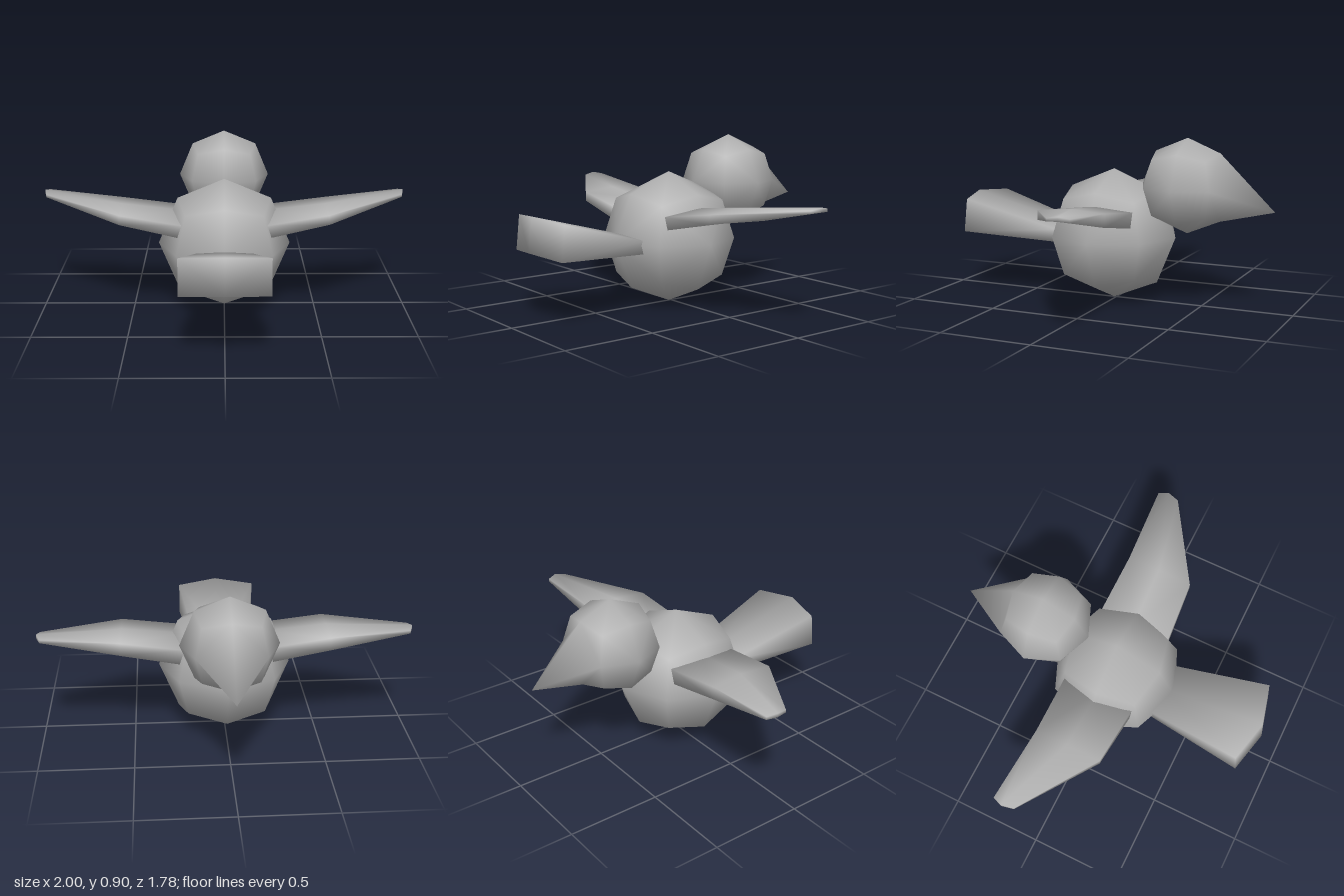
import * as THREE from 'three';
import { mergeVertices } from 'three/addons/utils/BufferGeometryUtils.js';

const plumage = new THREE.MeshStandardMaterial({ color: 0xb0b0b0 });
plumage.name = 'grey plumage';

// Smooth closed skin from points and quads: each quad is split along its
// shorter diagonal, and vertex normals are weighted by corner angle.
function skin(points, quads) {
  const p = points.map((xyz) => new THREE.Vector3(...xyz));
  const normals = p.map(() => new THREE.Vector3());
  const index = [];
  for (const [a, b, c, d] of quads) {
    if (p[a].distanceTo(p[c]) <= p[b].distanceTo(p[d])) index.push(a, b, c, a, c, d);
    else index.push(a, b, d, b, c, d);
  }
  for (let i = 0; i < index.length; i += 3) {
    for (let j = 0; j < 3; j++) {
      const at = index[i + j];
      const u = p[index[i + (j + 1) % 3]].clone().sub(p[at]);
      const v = p[index[i + (j + 2) % 3]].clone().sub(p[at]);
      const angle = u.angleTo(v);
      normals[at].add(u.cross(v).setLength(angle));
    }
  }
  const flat = (list) => list.flatMap((v) => v.toArray());
  const geometry = new THREE.BufferGeometry();
  geometry.setAttribute('position', new THREE.Float32BufferAttribute(flat(p), 3));
  geometry.setAttribute('normal', new THREE.Float32BufferAttribute(flat(normals.map((n) => n.normalize())), 3));
  geometry.setIndex(index);
  return geometry;
}

// Low-poly ball: a twice-divided cube pushed out to a sphere.
// The vertex facing -z can be drawn out to a tip.
function ball(radius, tip) {
  const box = new THREE.BoxGeometry(2, 2, 2, 2, 2, 2);
  box.deleteAttribute('uv');
  box.deleteAttribute('normal');
  const cube = mergeVertices(box);
  const points = [];
  for (let i = 0; i < cube.attributes.position.count; i++) {
    const v = new THREE.Vector3().fromBufferAttribute(cube.attributes.position, i).setLength(radius);
    points.push(tip && v.z < -0.99 * radius ? tip : v.toArray());
  }
  const quads = [];
  const corners = cube.index.array;
  for (let i = 0; i < corners.length; i += 6) {
    quads.push([corners[i], corners[i + 1], corners[i + 4], corners[i + 2]]);
  }
  return skin(points, quads);
}

// Closed skin over rings of six points, each running counterclockwise
// as seen from the far end.
function loft(rings) {
  const e = (rings.length - 1) * 6;
  const quads = [
    [e, e + 1, e + 2, e + 5], [e + 2, e + 3, e + 4, e + 5],
    [5, 2, 1, 0], [5, 4, 3, 2],
  ];
  for (let i = 0; i < e; i += 6) {
    for (let j = 0; j < 6; j++) {
      const k = (j + 1) % 6;
      quads.push([i + j, i + k, i + 6 + k, i + 6 + j]);
    }
  }
  return skin(rings.flat(), quads);
}

// Wing stations from root to tip; each edge is [x, z, bottom y, top y]
const wingStations = [
  { lead: [0.22, -0.19, 0.438, 0.523], mid: [0.22, 0.01, 0.463, 0.543], trail: [0.22, 0.215, 0.441, 0.513] },
  { lead: [0.56, -0.182, 0.498, 0.568], mid: [0.56, 0.0, 0.518, 0.58], trail: [0.56, 0.19, 0.512, 0.563] },
  { lead: [0.98, -0.203, 0.593, 0.61], mid: [1.0, -0.15, 0.598, 0.62], trail: [0.985, -0.085, 0.593, 0.608] },
];

function wing(side) {
  const rings = wingStations.map(({ lead, mid, trail }) => {
    const low = ([x, z, y]) => [side * x, y, z];
    const high = ([x, z, , y]) => [side * x, y, z];
    const ring = [low(lead), high(lead), high(mid), high(trail), low(trail), low(mid)];
    // Swap front and back on the mirrored side to keep faces outward
    return side > 0 ? ring : [4, 3, 2, 1, 0, 5].map((i) => ring[i]);
  });
  return loft(rings);
}

// Fanned tail with a ridge down the middle
function tail() {
  const ring = (w, corner, middle) => [
    [w, corner.low, corner.zLow], [w, corner.high, corner.zHigh],
    [0, middle.high, middle.zHigh],
    [-w, corner.high, corner.zHigh], [-w, corner.low, corner.zLow],
    [0, middle.low, middle.zLow],
  ];
  return loft([
    ring(0.15,
      { low: 0.315, high: 0.385, zLow: 0.29, zHigh: 0.29 },
      { low: 0.33, high: 0.395, zLow: 0.29, zHigh: 0.29 }),
    ring(0.225,
      { low: 0.347, high: 0.532, zLow: 0.838, zHigh: 0.818 },
      { low: 0.367, high: 0.552, zLow: 0.893, zHigh: 0.873 }),
  ]);
}

export function createModel() {
  const bird = new THREE.Group();
  bird.name = 'bird';
  const add = (name, geometry, x = 0, y = 0, z = 0) => {
    const mesh = new THREE.Mesh(geometry, plumage);
    mesh.name = name;
    mesh.position.set(x, y, z);
    bird.add(mesh);
  };
  add('body', ball(0.36), 0, 0.361, 0.013);
  // The head's foremost vertex forms the beak
  add('head', ball(0.256, [0, -0.112, -0.48]), 0, 0.648, -0.412);
  add('leftWing', wing(1));
  add('rightWing', wing(-1));
  add('tail', tail());
  return bird;
}
